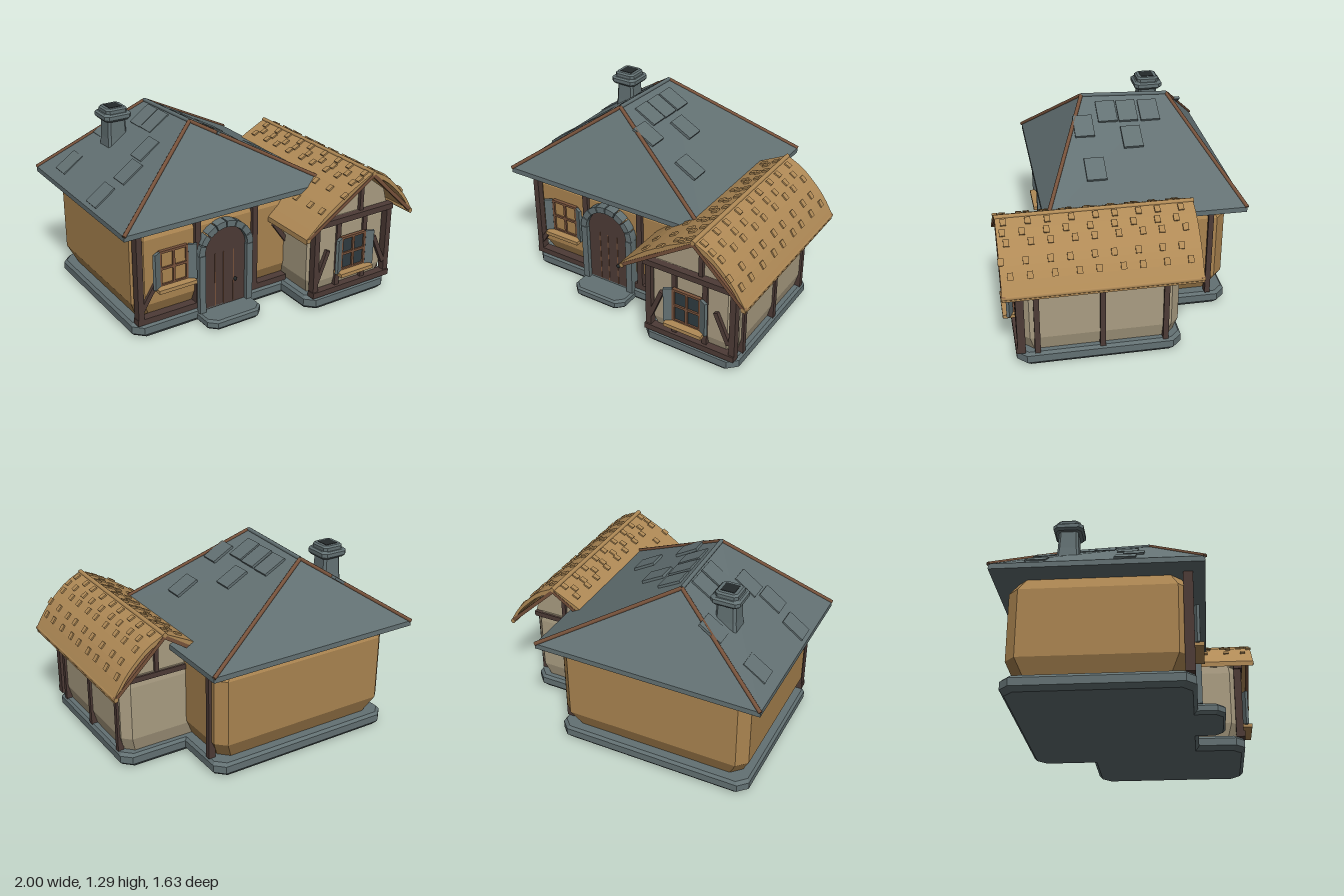
import * as THREE from 'three';

const mat = (name, color) => {
  const m = new THREE.MeshStandardMaterial({ color });
  m.name = name;
  return m;
};

export function createModel() {
  const root = new THREE.Group();
  root.name = 'cottage';
  const slate = mat('slate', 0x637173), straw = mat('straw', 0xb08a56), ochre = mat('ochre plaster', 0xaa8450);
  const cream = mat('cream plaster', 0xaa9d82), timber = mat('dark timber', 0x4d3b36);
  const brown = mat('brown wood', 0x77523b), glass = mat('dark glass', 0x2f3b40), soot = mat('soot', 0x24292a);
  const V = (x, y, z) => new THREE.Vector3(x, y, z);

  const add = (name, geo, m, parent = root) => {
    const mesh = new THREE.Mesh(geo, m);
    mesh.name = name;
    parent.add(mesh);
    return mesh;
  };
  const box = (name, m, x, y, z, w, h, d, parent) => {
    const b = add(name, new THREE.BoxGeometry(w, h, d), m, parent);
    b.position.set(x, y, z);
    return b;
  };
  // beam of w by d between two points; round makes it a pole of radius w
  const beam = (name, m, a, b, w, d, round = false) => {
    const len = a.distanceTo(b);
    const g = round ? new THREE.CylinderGeometry(w, w, len, 8) : new THREE.BoxGeometry(w, len, d);
    const mesh = add(name, g, m);
    mesh.position.copy(a).lerp(b, 0.5);
    mesh.quaternion.setFromUnitVectors(V(0, 1, 0), b.clone().sub(a).normalize());
    return mesh;
  };
  // flat faces, each a counter-clockwise list of points
  const facets = (faces) => {
    const p = [];
    for (const f of faces)
      for (let i = 1; i < f.length - 1; i++) for (const v of [f[0], f[i], f[i + 1]]) p.push(v.x, v.y, v.z);
    const g = new THREE.BufferGeometry();
    g.setAttribute('position', new THREE.Float32BufferAttribute(p, 3));
    g.computeVertexNormals();
    return g;
  };
  // block with cut corners, lofted through levels of [y, inset]
  const block = (name, m, [x0, x1, z0, z1], c, levels, parent) => {
    const rings = levels.map(([y, i]) => {
      const a = x0 + i, b = x1 - i, f = z1 - i, k = z0 + i;
      return [[a + c, f], [b - c, f], [b, f - c], [b, k + c], [b - c, k], [a + c, k], [a, k + c], [a, f - c]]
        .map(([x, z]) => V(x, y, z));
    });
    const faces = [[...rings[0]].reverse(), rings[rings.length - 1]];
    for (let r = 0; r < rings.length - 1; r++)
      for (let i = 0; i < 8; i++) {
        const j = (i + 1) % 8;
        faces.push([rings[r][i], rings[r][j], rings[r + 1][j], rings[r + 1][i]]);
      }
    return add(name, facets(faces), m, parent);
  };
  const extrude = (name, m, shape, z, depth) => {
    const e = add(name, new THREE.ExtrudeGeometry(shape, { depth, bevelEnabled: false, curveSegments: 12 }), m);
    e.position.z = z;
    return e;
  };

  // Foundations, step and walls
  const footing = [[0, 0.025], [0.03, 0], [0.08, 0], [0.1, 0.015]];
  block('mainFoundation', slate, [-0.91, 0.45, -0.73, 0.42], 0.06, footing);
  block('wingFoundation', slate, [0.21, 0.9, -0.32, 0.73], 0.06, footing);
  block('doorStep', slate, [-0.46, -0.05, 0.3, 0.59], 0.05, [[0, 0.015], [0.02, 0], [0.055, 0], [0.07, 0.012]]);
  block('mainWalls', ochre, [-0.89, 0.43, -0.71, 0.39], 0.065, [[0.09, 0.06], [0.22, 0], [0.67, 0], [0.765, 0.05]]);
  block('wingWalls', cream, [0.24, 0.88, -0.3, 0.7], 0.055, [[0.09, 0.03], [0.2, 0], [0.57, 0], [0.64, 0.01]]);
  const gable = new THREE.Shape([[0.245, 0.62], [0.875, 0.62], [0.84, 0.74], [0.635, 0.9]].map(([x, y]) => new THREE.Vector2(x, y)));
  extrude('wingGable', cream, gable, -0.28, 0.965);

  // Hipped slate roof
  const RX = -0.33, ridgeF = V(RX, 1.275, 0.13), ridgeB = V(RX, 1.25, -0.46);
  const corner = (y) => [V(-1, y, 0.49), V(0.53, y, 0.49), V(0.53, y, -0.81), V(-1, y, -0.81)];
  const t = corner(0.79), u = corner(0.755);
  const roofFaces = [[t[0], t[1], ridgeF], [t[1], t[2], ridgeB, ridgeF], [t[2], t[3], ridgeB], [t[3], t[0], ridgeF, ridgeB], [...u].reverse()];
  for (let i = 0; i < 4; i++) roofFaces.push([u[i], u[(i + 1) % 4], t[(i + 1) % 4], t[i]]);
  add('mainRoof', facets(roofFaces), slate);
  [[t[0], ridgeF], [t[1], ridgeF], [t[2], ridgeB], [t[3], ridgeB]].forEach(([a, b]) => beam('hipPole', brown, a, b, 0.013, 0, true));
  beam('ridgePole', slate, ridgeF, ridgeB, 0.014, 0, true);

  // Loose slates lying on the side slopes
  const tiles = [[-0.2, -0.31], [-0.2, -0.16], [-0.2, -0.02], [-0.01, -0.16], [0.2, 0.12], [-0.1, 0.15],
    [-0.42, -0.3], [-0.42, -0.16], [-0.73, 0.05], [-0.58, 0], [-0.91, 0.01], [-0.58, -0.54], [-0.87, -0.54]];
  for (const [x, z] of tiles) {
    const right = x > RX, run = right ? 0.86 : 0.67, f = Math.abs(x - RX) / run;
    const top = 1.2625 + 0.042 * (z + 0.165), slope = Math.atan((top - 0.79) / run);
    const s = box('slateTile', slate, x, top + (0.79 - top) * f + 0.003, z, 0.17, 0.018, 0.13);
    s.rotation.z = right ? -slope : slope;
  }

  // Chimney
  const chimney = new THREE.Group();
  chimney.name = 'chimney';
  chimney.position.set(-0.61, 0, -0.38);
  root.add(chimney);
  const sq = (r) => [-r, r, -r, r];
  block('chimneyStack', slate, sq(0.08), 0.015, [[0.95, 0], [1.08, 0.012], [1.22, 0.018]], chimney);
  block('chimneyCap', slate, sq(0.097), 0.025, [[1.2, 0.012], [1.215, 0], [1.24, 0], [1.25, 0.012]], chimney);
  block('chimneyRim', slate, sq(0.075), 0.02, [[1.245, 0], [1.272, 0], [1.283, 0.01]], chimney);
  box('flue', soot, 0, 1.283, 0, 0.09, 0.006, 0.09, chimney);

  // Bowed straw roof over the wing
  const spline = (pts) => new THREE.SplineCurve(pts.map(([x, y]) => new THREE.Vector2(x, y))).getPoints(10);
  const leftBow = spline([[0.11, 0.6], [0.27, 0.735], [0.44, 0.845], [0.54, 0.897], [0.635, 0.945]]);
  const rightBow = spline([[0.635, 0.945], [0.75, 0.885], [0.86, 0.785], [0.93, 0.7], [0.99, 0.6]]);
  const outer = [...leftBow, ...rightBow.slice(1)];
  const inner = outer.map((p) => new THREE.Vector2(p.x, p.y - 0.035)).reverse();
  extrude('wingRoof', straw, new THREE.Shape([...outer, ...inner]), -0.415, 1.22);
  beam('wingRidge', straw, V(0.635, 0.938, -0.42), V(0.635, 0.938, 0.81), 0.016, 0, true);
  beam('eavePole', straw, V(0.125, 0.59, -0.42), V(0.125, 0.59, 0.81), 0.016, 0, true);
  beam('eavePole', straw, V(0.98, 0.59, -0.42), V(0.98, 0.59, 0.81), 0.016, 0, true);
  for (const z of [-0.405, 0.795]) {
    beam('bargeBoard', brown, V(0.12, 0.59, z), V(0.645, 0.93, z), 0.024, 0.025);
    beam('bargeBoard', brown, V(0.985, 0.59, z), V(0.63, 0.93, z), 0.024, 0.025);
  }
  // Rows of straw tufts
  [leftBow, rightBow.slice().reverse()].forEach((bow, side) => {
    [2.5, 4.5, 6.5, 7.6, 8.8].forEach((at, row) => {
      const i = Math.floor(at), a = bow[i], b = bow[i + 1], p = a.clone().lerp(b, at - i);
      for (let n = 0; n < 9; n++) {
        const z = -0.34 + n * 0.135 + (row % 2) * 0.03 + ((n * 7 + row * 3) % 5) * 0.006;
        if (side === 0 && p.x < 0.42 && z < 0.45) continue;
        const tuft = box('strawTuft', straw, p.x, p.y + 0.004, z, 0.045, 0.014, 0.035);
        tuft.rotation.z = Math.atan((b.y - a.y) / (b.x - a.x));
      }
    });
  });

  // Timber frame of the main front and side
  for (const x of [-0.865, -0.445, -0.01]) box('mainPost', timber, x, 0.43, 0.385, 0.04, 0.66, 0.06);
  box('mainSill', timber, -0.32, 0.12, 0.385, 1.14, 0.04, 0.06);
  box('sidePost', timber, 0.425, 0.43, -0.6, 0.05, 0.66, 0.035);
  beam('mainBrace', timber, V(-0.86, 0.19, 0.395), V(-0.75, 0.36, 0.395), 0.03, 0.03);
  beam('mainBrace', timber, V(0.15, 0.54, 0.395), V(0.25, 0.4, 0.395), 0.03, 0.03);

  // Timber frame of the wing
  for (const x of [0.265, 0.87]) box('wingPost', timber, x, 0.36, 0.7, 0.04, 0.52, 0.05);
  for (const x of [0.45, 0.67]) box('wingStud', timber, x, 0.36, 0.7, 0.035, 0.5, 0.03);
  box('wingSill', timber, 0.565, 0.12, 0.705, 0.65, 0.04, 0.06);
  box('wingTieBeam', timber, 0.56, 0.62, 0.705, 0.66, 0.04, 0.06);
  box('wingBackBeam', timber, 0.56, 0.62, -0.29, 0.62, 0.035, 0.03);
  for (const z of [0.695, -0.285]) box('gablePost', timber, 0.635, 0.77, z, 0.028, 0.28, 0.03);
  beam('wingBrace', timber, V(0.275, 0.21, 0.71), V(0.36, 0.42, 0.71), 0.03, 0.03);
  beam('wingBrace', timber, V(0.845, 0.21, 0.71), V(0.75, 0.42, 0.71), 0.03, 0.03);
  for (const z of [0.6, 0.19, -0.21]) box('wingSidePost', timber, 0.875, 0.345, z, 0.04, 0.5, 0.035);

  // Arched door with stone surround
  const DX = -0.255, spring = 0.48;
  const arch = (r, bottom) => {
    const s = new THREE.Shape();
    s.moveTo(DX - r, bottom);
    s.lineTo(DX + r, bottom);
    s.lineTo(DX + r, spring);
    s.absarc(DX, spring, r, 0, Math.PI, false);
    return s;
  };
  extrude('doorBacking', straw, arch(0.195, 0.07), 0.32, 0.09);
  extrude('door', timber, arch(0.16, 0.07), 0.34, 0.08);
  for (const dx of [-0.07, -0.005, 0.07]) box('doorGroove', brown, DX + dx, 0.27, 0.42, 0.006, 0.38, 0.006);
  const knob = add('doorKnob', new THREE.SphereGeometry(0.013, 10, 8), soot);
  knob.position.set(-0.175, 0.24, 0.43);
  for (const s of [-1, 1]) box('doorJamb', slate, DX + s * 0.18, 0.275, 0.395, 0.045, 0.41, 0.11);
  for (let i = 0; i < 8; i++) {
    const a = (i / 8) * Math.PI + 0.02, b = ((i + 1) / 8) * Math.PI - 0.02;
    const s = new THREE.Shape();
    s.absarc(DX, spring, 0.205, a, b, false);
    s.absarc(DX, spring, 0.162, b, a, true);
    extrude('archStone', slate, s, 0.36, 0.09);
  }

  // Windows with open shutters
  const makeWindow = (name, x, y, z, pane) => {
    const g = new THREE.Group();
    g.name = name;
    g.position.set(x, y, z);
    root.add(g);
    box('pane', pane, 0, 0, 0.012, 0.2, 0.23, 0.008, g);
    for (const s of [-1, 0, 1]) {
      box('upright', brown, s * 0.095, 0, 0.016, 0.016, 0.24, 0.024, g);
      box('crossbar', brown, 0, s * 0.115, 0.016, 0.2, 0.016, 0.024, g);
    }
    for (const s of [-1, 1]) box('shutter', slate, s * 0.13, 0, 0.035, 0.055, 0.245, 0.02, g).rotation.y = -s * 0.5;
    box('windowSill', straw, 0, -0.13, 0.04, 0.27, 0.025, 0.08, g);
  };
  makeWindow('mainWindow', -0.625, 0.46, 0.39, ochre);
  makeWindow('wingWindow', 0.555, 0.375, 0.715, glass);
  return root;
}
